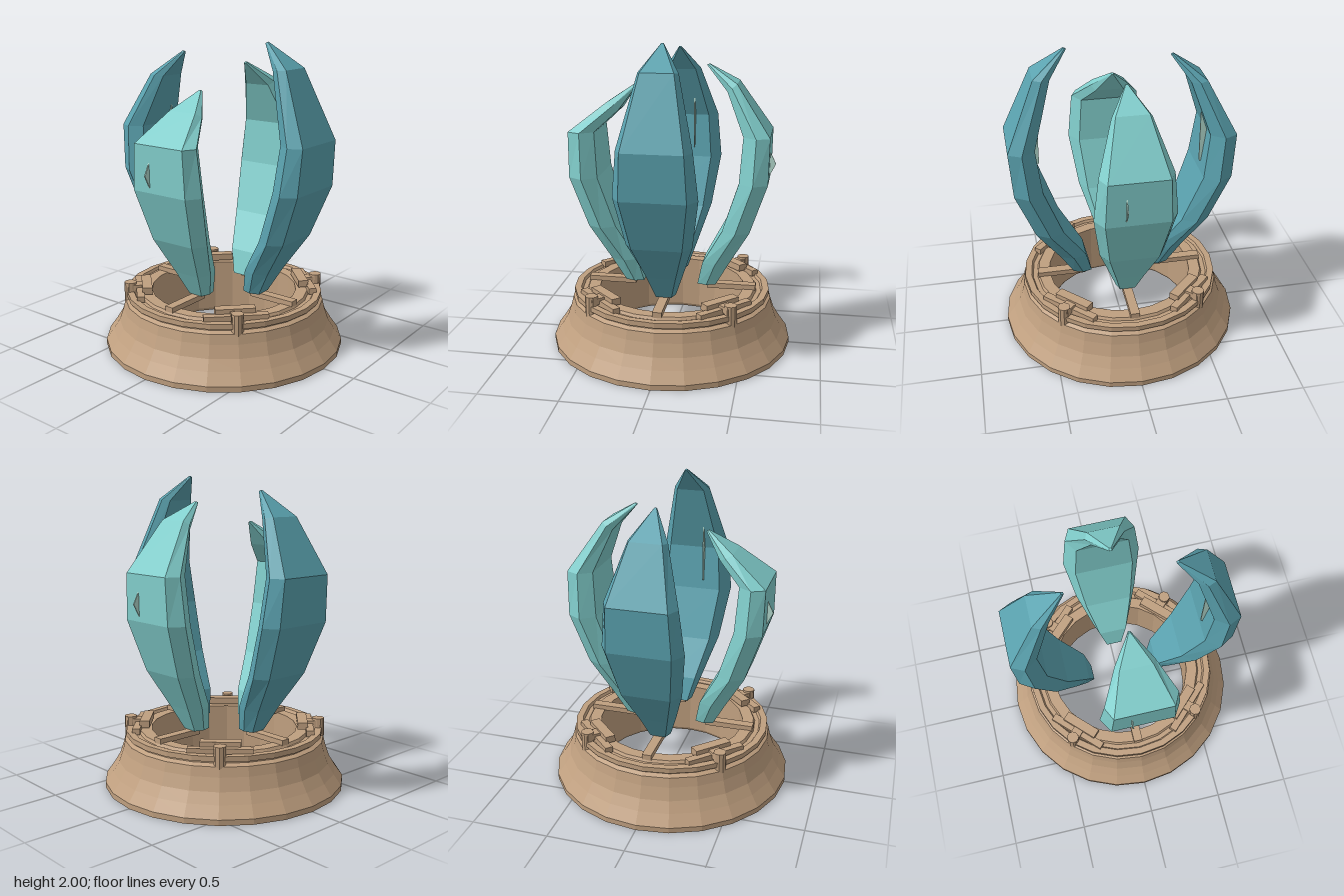
import * as THREE from 'three';

const stone = new THREE.MeshStandardMaterial({ color: 0xbf9f7f, flatShading: true });
stone.name = 'tan stone';
const darkTeal = new THREE.MeshStandardMaterial({ color: 0x5ba3b0, flatShading: true });
darkTeal.name = 'deep teal';
const lightTeal = new THREE.MeshStandardMaterial({ color: 0x82cfcd, flatShading: true });
lightTeal.name = 'light teal';
const pale = new THREE.MeshStandardMaterial({ color: 0xb2d8cc, flatShading: true, side: THREE.DoubleSide });
pale.name = 'pale crystal';

function add(parent, name, geometry, material, x = 0, y = 0, z = 0) {
  const mesh = new THREE.Mesh(geometry, material);
  mesh.name = name;
  mesh.position.set(x, y, z);
  parent.add(mesh);
  return mesh;
}

// Lofts closed counter-clockwise rings into a faceted solid with end caps
function loft(rings) {
  const pos = [];
  const tri = (a, b, c) => pos.push(...a, ...b, ...c);
  const n = rings[0].length;
  for (let i = 0; i < rings.length - 1; i++) {
    for (let j = 0; j < n; j++) {
      const k = (j + 1) % n;
      const lo = rings[i], hi = rings[i + 1];
      tri(lo[j], lo[k], hi[k]);
      tri(lo[j], hi[k], hi[j]);
    }
  }
  const first = rings[0], last = rings[rings.length - 1];
  for (let j = 1; j < n - 1; j++) {
    tri(first[0], first[j + 1], first[j]);
    tri(last[0], last[j], last[j + 1]);
  }
  const g = new THREE.BufferGeometry();
  g.setAttribute('position', new THREE.Float32BufferAttribute(pos, 3));
  g.computeVertexNormals();
  return g;
}

// Six-sided petal, bulging towards +z; top = [shoulder out r,y, shoulder in r,y, tip r,y]
function petalGeometry(inset, top) {
  // y, outer radius, inner radius, outer half width, middle half width, inset factor
  const rows = [
    [0.40, 0.32, 0.20, 0.05, 0.07, 0.02],
    [0.56, 0.41, 0.24, 0.09, 0.125, 0.025],
    [0.80, 0.565, 0.39, 0.155, 0.205, 0.045],
    [1.13, 0.69, 0.51, 0.20, 0.255, 0.06],
    [1.42, 0.71, 0.545, 0.185, 0.225, 0.075],
  ].map(([y, o, i, wo, wm, d]) => [o - d * inset, y, i - d * inset, y, wo, wm]);
  const [so, soy, si, siy, tr, ty] = top;
  rows.push([so, soy, si, siy, 0.10, 0.12]);
  rows.push([tr + 0.008, ty, tr - 0.008, ty - 0.008, 0.006, 0.008]);
  return loft(rows.map(([o, oy, i, iy, wo, wm]) => {
    const m = (o + i) / 2, my = (oy + iy) / 2, wi = wm * 0.75;
    return [[wo, oy, o], [wm, my, m], [wi, iy, i], [-wi, iy, i], [-wm, my, m], [-wo, oy, o]];
  }));
}

// Thin crystal splinter standing in the radial plane
function splinterGeometry(points) {
  const shape = new THREE.Shape(points.map(([r, y]) => new THREE.Vector2(r, y)));
  return new THREE.ExtrudeGeometry(shape, { depth: 0.008, bevelEnabled: false }).rotateY(-Math.PI / 2);
}

export function createModel() {
  const model = new THREE.Group();
  model.name = 'petalPedestal';

  // Flared ring base with a lip and a recessed inner ledge
  const profile = [
    [0.49, 0], [0.79, 0], [0.79, 0.035], [0.74, 0.105], [0.70, 0.17], [0.672, 0.25],
    [0.658, 0.31], [0.632, 0.325], [0.632, 0.337], [0.648, 0.337], [0.648, 0.37],
    [0.605, 0.37], [0.595, 0.352], [0.565, 0.352], [0.555, 0.37], [0.48, 0.37],
    [0.48, 0.02], [0.49, 0],
  ].map(([r, y]) => new THREE.Vector2(r, y));
  add(model, 'ringBase', new THREE.LatheGeometry(profile, 24), stone);

  // Clamps on the diagonals: post, backing plate, tangential bar and stub
  for (let i = 0; i < 4; i++) {
    const clamp = new THREE.Group();
    clamp.name = 'clamp';
    clamp.rotation.y = Math.PI / 4 + i * Math.PI / 2;
    add(clamp, 'clampPost', new THREE.CylinderGeometry(0.04, 0.04, 0.15, 10), stone, 0, 0.355, 0.622);
    add(clamp, 'clampPlate', new THREE.BoxGeometry(0.40, 0.04, 0.05), stone, 0, 0.378, 0.56);
    add(clamp, 'clampBar', new THREE.BoxGeometry(0.25, 0.045, 0.065), stone, 0, 0.405, 0.515);
    add(clamp, 'clampStub', new THREE.BoxGeometry(0.07, 0.04, 0.12), stone, 0, 0.395, 0.58);
    model.add(clamp);
  }

  // Petals: angle, colour, inward inset, top shape
  const petals = [
    ['frontPetal', 0, darkTeal, 0, [0.53, 1.85, 0.43, 1.84, 0.325, 2.0]],
    ['backPetal', Math.PI, darkTeal, 0, [0.53, 1.76, 0.43, 1.75, 0.325, 1.915]],
    ['leftPetal', Math.PI / 2, lightTeal, 1, [0.42, 1.735, 0.36, 1.685, 0.23, 1.845]],
    ['rightPetal', -Math.PI / 2, lightTeal, 1, [0.41, 1.595, 0.33, 1.55, 0.23, 1.71]],
  ];
  const outerSplinter = [[0.56, 1.05], [0.62, 1.14], [0.67, 1.24], [0.625, 1.33], [0.56, 1.36]];
  const innerSplinter = [[0.505, 1.2], [0.56, 1.16], [0.60, 1.42], [0.56, 1.60], [0.502, 1.62]];
  for (const [name, angle, material, inset, top] of petals) {
    const group = new THREE.Group();
    group.name = name;
    group.rotation.y = angle;
    add(group, 'petalBody', petalGeometry(inset, top), material);
    add(group, 'splinter', splinterGeometry(inset ? outerSplinter : innerSplinter), pale, -0.07);
    // Radial strut carrying the petal over the opening
    add(group, 'petalStrut', new THREE.BoxGeometry(0.06, 0.035, 0.32), stone, 0, 0.383, 0.40);
    model.add(group);
  }
  return model;
}
